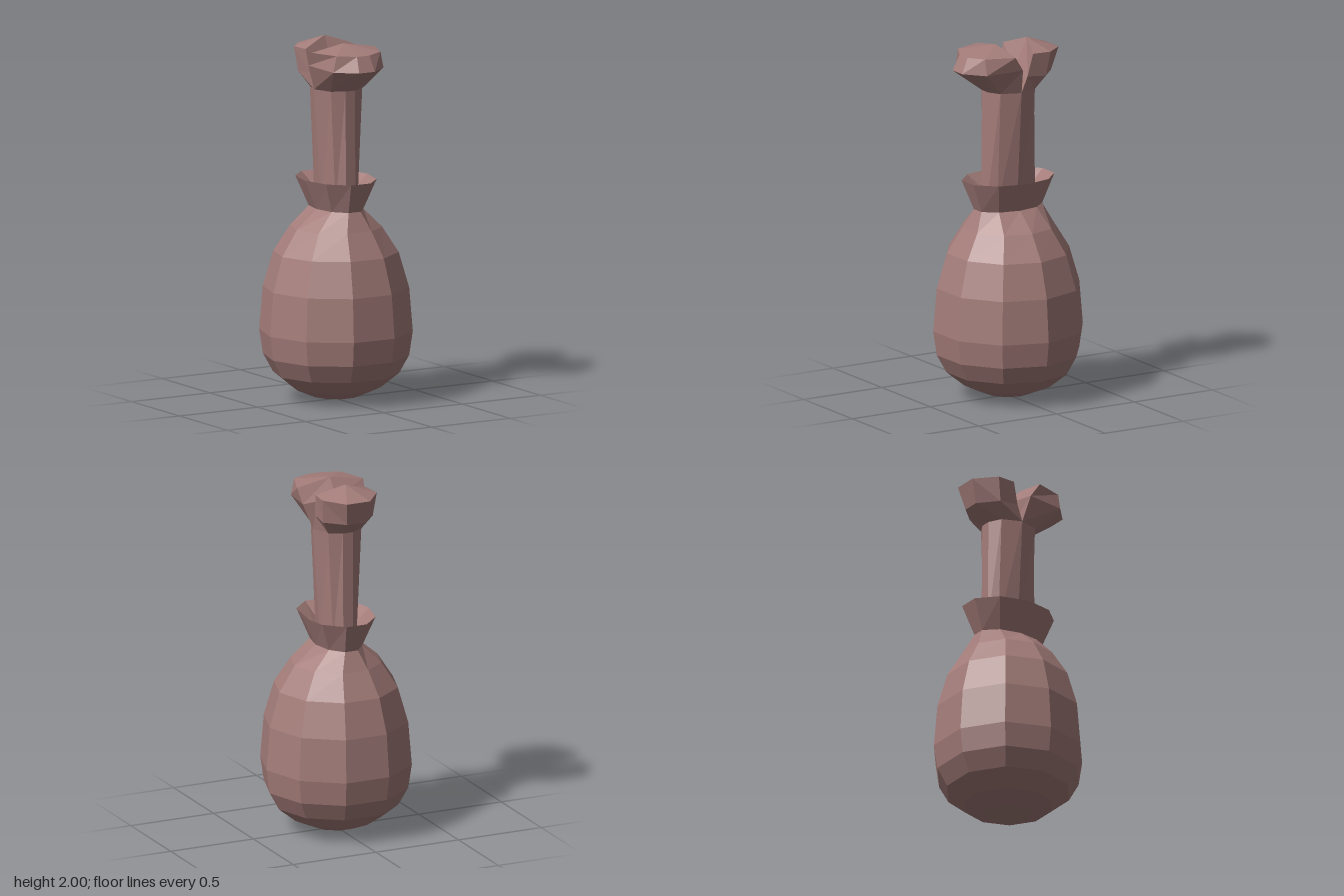
import * as THREE from 'three';

// Ten-sided elliptical cross-section at height y
const ring = (y, rx, rz = rx) => Array.from({ length: 10 }, (_, i) => {
  const a = i * Math.PI / 5;
  return [rx * Math.cos(a), y, rz * Math.sin(a)];
});

// Half of a cross-section mirrored across x; inner point closes the split side
const mirrored = (half, inner) => {
  const other = half.map(([x, y, z]) => [-x, y, z]).reverse();
  return [...half, ...other, ...(inner ? [inner] : [])];
};

// Skin a stack of cross-sections, optionally closed by a top and bottom point
function loft(rings, { top, bottom, flip = false } = {}) {
  const stack = [...rings];
  const n = stack[0].length;
  if (bottom) stack.unshift(Array(n).fill(bottom));
  if (top) stack.push(Array(n).fill(top));
  const pos = [];
  const same = (p, q) => p.every((v, i) => v === q[i]);
  const tri = (a, b, c) => {
    if (same(a, b) || same(b, c) || same(a, c)) return;
    pos.push(...a, ...(flip ? c : b), ...(flip ? b : c));
  };
  for (let k = 0; k + 1 < stack.length; k++) {
    for (let i = 0; i < n; i++) {
      const j = (i + 1) % n;
      tri(stack[k][i], stack[k + 1][i], stack[k][j]);
      tri(stack[k][j], stack[k + 1][i], stack[k + 1][j]);
    }
  }
  const geometry = new THREE.BufferGeometry();
  geometry.setAttribute('position', new THREE.Float32BufferAttribute(pos, 3));
  geometry.computeVertexNormals();
  return geometry;
}

export function createModel() {
  const group = new THREE.Group();
  const material = new THREE.MeshStandardMaterial({
    color: 0xa37c79, flatShading: true, side: THREE.DoubleSide,
  });
  const add = (name, geometry) => {
    const mesh = new THREE.Mesh(geometry, material);
    mesh.name = name;
    group.add(mesh);
  };

  // Egg-shaped meat body, narrowing to an oval neck
  const profile = [
    [0.022, 0.13], [0.07, 0.245], [0.15, 0.345], [0.25, 0.4], [0.385, 0.42],
    [0.625, 0.4], [0.82, 0.343], [0.96, 0.25, 0.258], [1.065, 0.125, 0.205],
  ];
  add('meat', loft(profile.map((p) => ring(...p)), { bottom: [0, 0.003, 0] }));

  // Flared collar with a sunken inside
  add('collar', loft([
    ring(1.065, 0.125, 0.205), ring(1.23, 0.2, 0.273), ring(1.14, 0.1, 0.155),
  ], { top: [0, 1.14, 0] }));

  // Bone shaft, wider at the top
  const shaftRing = (y, w, front) => {
    const half = mirrored(front);
    const back = half.slice().reverse().map(([x, py, z]) => [x, py, -z]);
    return [[w, y, 0], ...half, [-w, y, 0], ...back];
  };
  add('boneShaft', loft([
    shaftRing(1.1, 0.095, [[0.07, 1.1, 0.11], [0.03, 1.1, 0.155]]),
    shaftRing(1.73, 0.14, [[0.1, 1.73, 0.11], [0.03, 1.73, 0.148]]),
  ], { top: [0, 1.73, 0] }));

  // Front knuckle, leaning forward
  const frontTop = [0, 1.985, 0.078];
  add('frontKnuckle', loft([
    mirrored([[0.14, 1.73, 0], [0.1, 1.73, 0.11], [0.03, 1.73, 0.148]], [0, 1.73, 0]),
    mirrored([[0.19, 1.87, 0.022], [0.16, 1.86, 0.235], [0.05, 1.86, 0.325]], [0, 1.89, 0]),
    mirrored([[0.2, 1.95, 0.075], [0.14, 1.95, 0.235], [0.04, 1.945, 0.285]], frontTop),
  ], { top: frontTop }));

  // Back knuckle, smaller and more upright
  const backTop = [0, 2, -0.12];
  add('backKnuckle', loft([
    mirrored([[0.14, 1.73, 0], [0.1, 1.73, -0.11], [0.03, 1.73, -0.148]], [0, 1.73, 0]),
    mirrored([[0.145, 1.82, -0.035], [0.15, 1.81, -0.15], [0.05, 1.81, -0.245]], [0, 1.82, -0.04]),
    mirrored([[0.155, 1.945, -0.065], [0.165, 1.945, -0.17], [0.07, 1.94, -0.282]], backTop),
  ], { top: backTop, flip: true }));

  return group;
}
